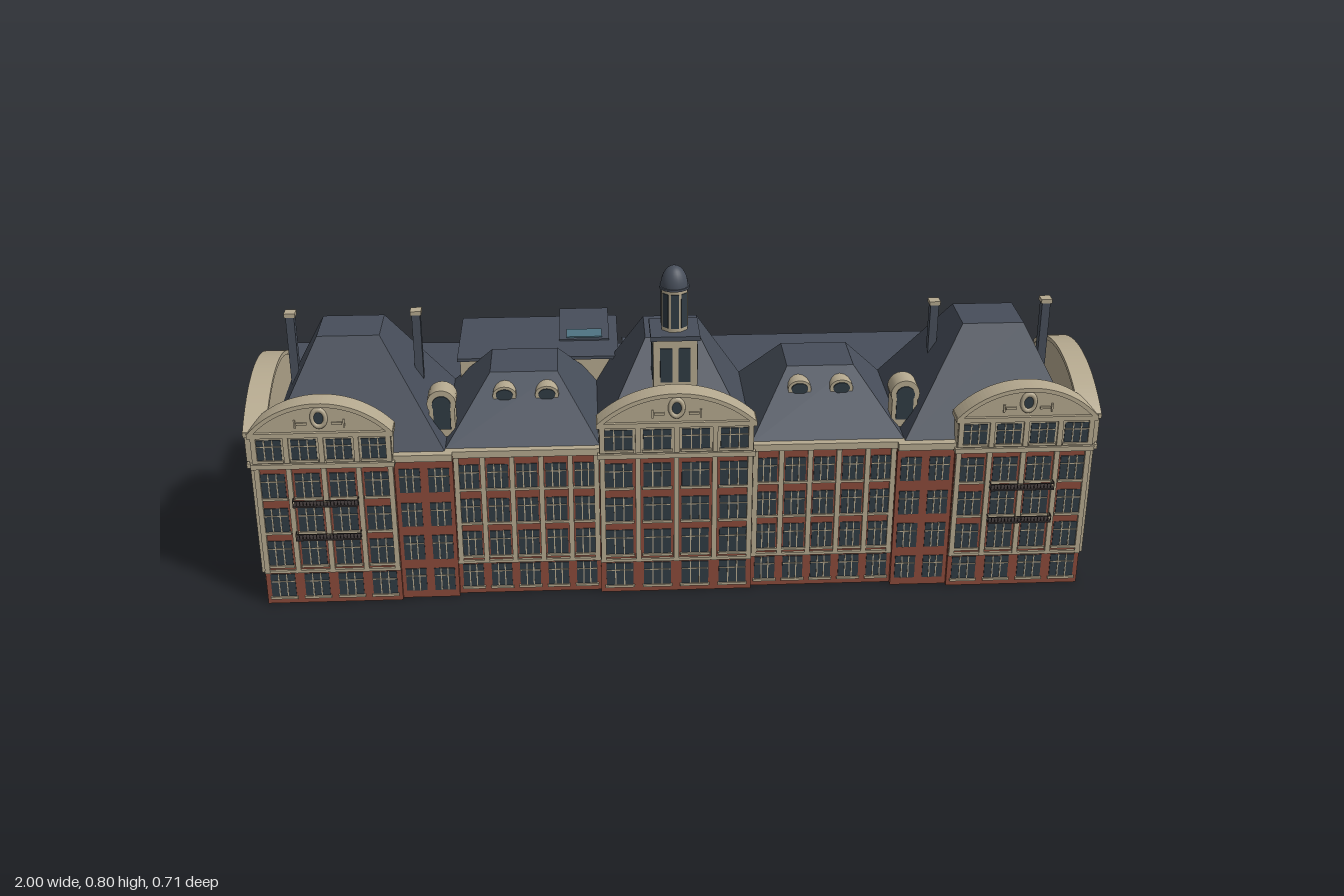
import * as THREE from 'three';
import { mergeGeometries } from 'three/addons/utils/BufferGeometryUtils.js';

const mat = (color) => new THREE.MeshStandardMaterial({ color });
const BRICK = mat(0x8a4a3a), CREAM = mat(0xb5a98f), SLATE = mat(0x474e5a), GLASS = mat(0x303b43),
  IRON = mat(0x3a3434), SKY = mat(0x4f7382);

// Box from its limits
function box(x0, x1, y0, y1, z0, z1) {
  return new THREE.BoxGeometry(x1 - x0, y1 - y0, z1 - z0)
    .translate((x0 + x1) / 2, (y0 + y1) / 2, (z0 + z1) / 2);
}

// One named mesh from a list of geometries
function part(parent, name, material, geos) {
  if (!geos.length) return;
  const flat = geos.map((g) => (g.index ? g.toNonIndexed() : g));
  const mesh = new THREE.Mesh(mergeGeometries(flat), material);
  mesh.name = name;
  parent.add(mesh);
}

// Hipped roof: box with its upper corners moved to the flat top
function hip(x0, x1, z0, z1, y0, tx0, tx1, tz0, tz1, y1) {
  const g = box(x0, x1, y0, y1, z0, z1).toNonIndexed(), p = g.attributes.position;
  for (let i = 0; i < p.count; i++) {
    if (p.getY(i) < (y0 + y1) / 2) continue;
    p.setX(i, p.getX(i) < (x0 + x1) / 2 ? tx0 : tx1);
    p.setZ(i, p.getZ(i) < (z0 + z1) / 2 ? tz0 : tz1);
  }
  g.computeVertexNormals();
  return g;
}

// Upright plate with a segmental arch on top
function archPlate(half, y0, spring, rise, z0, z1) {
  const r = (half * half + rise * rise) / (2 * rise), a = Math.asin(half / r);
  const s = new THREE.Shape();
  s.moveTo(-half, y0);
  s.lineTo(half, y0);
  s.absarc(0, spring + rise - r, r, Math.PI / 2 - a, Math.PI / 2 + a, false);
  s.closePath();
  return new THREE.ExtrudeGeometry(s, { depth: z1 - z0, bevelEnabled: false, curveSegments: 20 })
    .translate(0, 0, z0);
}

// Raised moulding that follows the arch
function archRim(half, spring, rise, t, z0, z1) {
  const r = (half * half + rise * rise) / (2 * rise), a = Math.asin(half / r), cy = spring + rise - r;
  const s = new THREE.Shape();
  s.absarc(0, cy, r, Math.PI / 2 - a, Math.PI / 2 + a, false);
  s.absarc(0, cy, r - t, Math.PI / 2 + a, Math.PI / 2 - a, true);
  s.closePath();
  return new THREE.ExtrudeGeometry(s, { depth: z1 - z0, bevelEnabled: false, curveSegments: 20 })
    .translate(0, 0, z0);
}

const ROWS = [[0.02, 0.08], [0.105, 0.17], [0.195, 0.257], [0.285, 0.347]];

// Window grid in local space: the wall plane is z = 0, facing +z
function facade(name, width, bays, { gable = false, pilasters = false, bands = true, hasGlass = () => true } = {}) {
  const g = new THREE.Group(), cream = [], glass = [], pitch = width / bays, h = width / 2;
  g.name = name;
  const rows = gable ? [...ROWS, [0.387, 0.438]] : ROWS;
  for (let b = 0; b < bays; b++) {
    const cx = -h + (b + 0.5) * pitch, w = pitch * 0.36;
    rows.forEach(([y0, y1], r) => {
      const z = r === 4 ? 0.008 : 0;
      if (r === 4 || hasGlass(b)) glass.push(box(cx - w, cx + w, y0, y1, z - 0.004, z + 0.002));
      for (const m of [-0.33, 0.33])
        cream.push(box(cx + m * w - 0.0013, cx + m * w + 0.0013, y0, y1, z - 0.004, z + 0.004));
      const ym = y0 + (y1 - y0) * 0.68;
      cream.push(box(cx - w, cx + w, ym - 0.001, ym + 0.001, z - 0.004, z + 0.004));
      if (bands) cream.push(box(cx - w - 0.003, cx + w + 0.003, y0 - 0.006, y0, z - 0.004, z + 0.006));
    });
  }
  if (pilasters) for (let b = 0; b <= bays; b++) {
    const cx = THREE.MathUtils.clamp(-h + b * pitch, -h + 0.007, h - 0.007);
    cream.push(box(cx - 0.006, cx + 0.006, 0.085, 0.367, -0.004, 0.007));
    if (gable) cream.push(box(cx - 0.006, cx + 0.006, 0.38, 0.445, 0, 0.014));
  }
  if (bands) cream.push(box(-h, h, 0.085, 0.092, -0.004, 0.006));
  if (gable) {
    // Arched gable with its mouldings and oculus
    cream.push(archPlate(h, 0.365, 0.455, 0.072, -0.035, 0.008), archRim(h + 0.006, 0.455, 0.076, 0.01, -0.037, 0.016));
    cream.push(box(-h - 0.004, h + 0.004, 0.365, 0.377, -0.03, 0.014), box(-h - 0.006, h + 0.006, 0.445, 0.457, -0.035, 0.016));
    cream.push(new THREE.TorusGeometry(0.018, 0.006, 8, 20).scale(0.85, 1.15, 1).translate(0, 0.492, 0.009));
    glass.push(new THREE.CylinderGeometry(0.016, 0.016, 0.01, 20).rotateX(Math.PI / 2).scale(0.85, 1.15, 1).translate(0, 0.492, 0.006));
    for (const s of [-1, 1]) {
      cream.push(box(s * 0.04 - 0.012, s * 0.04 + 0.012, 0.475, 0.481, 0, 0.012));
      cream.push(box(s * 0.056 - 0.002, s * 0.056 + 0.002, 0.468, 0.488, 0, 0.012));
    }
  } else cream.push(box(-h, h, 0.37, 0.387, -0.02, 0.012));
  part(g, name + 'Stone', CREAM, cream);
  part(g, name + 'Glass', GLASS, glass);
  return g;
}

// Iron balcony: slab, rail and bars
function balcony(width, y) {
  const geos = [box(-width / 2, width / 2, y, y + 0.004, 0, 0.024)], n = Math.round(width / 0.008);
  geos.push(box(-width / 2, width / 2, y + 0.016, y + 0.018, 0.022, 0.024));
  for (let i = 0; i <= n; i++) {
    const x = -width / 2 + (i * width) / n;
    geos.push(box(x - 0.0007, x + 0.0007, y, y + 0.017, 0.0225, 0.0238));
  }
  for (const s of [-1, 1]) geos.push(box(s * width / 2 - 0.001, s * width / 2 + 0.001, y + 0.016, y + 0.018, 0, 0.024));
  return geos;
}

export function createModel() {
  const model = new THREE.Group();
  model.name = 'building';

  // Brick walls of the front range
  const walls = [box(-0.97, 0.97, 0, 0.38, -0.1, 0.303), box(-0.18, 0.18, 0, 0.38, 0.2, 0.315)];
  for (const s of [-1, 1]) {
    const [a, b, c] = [0.52, 0.655, 0.975].map((v) => v * s);
    walls.push(box(Math.min(b, c), Math.max(b, c), 0, 0.38, -0.1, 0.327));
    walls.push(box(Math.min(a, b), Math.max(a, b), 0, 0.38, 0.1, 0.317));
  }
  part(model, 'brickWalls', BRICK, walls);

  // Street front, bay by bay
  const place = (f, x, z, ry = 0) => { f.position.set(x, 0, z); f.rotation.y = ry; model.add(f); return f; };
  place(facade('centralFront', 0.36, 4, { gable: true, pilasters: true }), 0, 0.315);
  for (const s of [-1, 1]) {
    const end = place(facade('endFront', 0.32, 4, { gable: true, pilasters: true }), s * 0.815, 0.327);
    part(end, 'frontBalcony', IRON, [...balcony(0.15, 0.181), ...balcony(0.15, 0.269)]);
    place(facade('linkFront', 0.135, 2, { bands: false }), s * 0.5875, 0.317);
    place(facade('wingFront', 0.34, 5, { pilasters: true }), s * 0.35, 0.303);
    // Side gables; the two rear bays are glazed
    const side = place(facade('sideFront', 0.435, 5,
      { gable: true, pilasters: true, bands: false, hasGlass: (b) => (s > 0 ? b > 2 : b < 2) }),
    s * 0.975, 0.11, s * Math.PI / 2);
    const rails = [...balcony(0.15, 0.181), ...balcony(0.15, 0.269)];
    rails.forEach((g) => g.translate(s * 0.005, 0, 0));
    part(side, 'sideBalcony', IRON, rails);
  }

  // Rear block with its flat roof
  const plan = new THREE.Shape([[-0.97, 0.09], [0.973, 0.09], [0.973, 0.14], [0.745, 0.14], [0.745, 0.355],
    [-0.11, 0.355], [-0.11, 0.315], [-0.97, 0.36]].map(([x, y]) => new THREE.Vector2(x, y)));
  const slab = (depth, y) => new THREE.ExtrudeGeometry(plan, { depth, bevelEnabled: false })
    .rotateX(-Math.PI / 2).translate(0, y, 0);
  part(model, 'rearBlock', CREAM, [slab(0.378, 0)]);
  part(model, 'rearRoof', SLATE, [slab(0.004, 0.378)]);

  // Rear windows
  const rear = [];
  const rearRow = (x0, x1, n, zAt, turn) => {
    for (let i = 0; i < n; i++) for (const y of [0.128, 0.218, 0.31]) {
      const x = x0 + ((i + 0.5) * (x1 - x0)) / n;
      rear.push(new THREE.BoxGeometry(0.042, 0.046, 0.006).rotateY(turn).translate(x, y, zAt(x)));
    }
  };
  rearRow(-0.11, 0.745, 10, () => -0.355, 0);
  rearRow(-0.97, -0.11, 9, (x) => -0.36 + (x + 0.97) * 0.0523, -0.0523);
  rearRow(0.76, 0.96, 2, () => -0.14, 0);
  part(model, 'rearWindows', GLASS, rear);

  // Raised rear storey and skylight housing
  part(model, 'rearAttic', CREAM, [box(-0.52, -0.13, 0.38, 0.462, -0.29, -0.06), box(-0.27, -0.15, 0.37, 0.468, -0.335, -0.13)]);
  part(model, 'rearAtticRoof', SLATE, [box(-0.525, -0.125, 0.462, 0.47, -0.295, -0.03), box(-0.273, -0.147, 0.468, 0.474, -0.338, -0.13)]);
  part(model, 'skylight', SKY, [box(-0.255, -0.165, 0.472, 0.477, -0.19, -0.14)]);

  // Hipped roofs, dormers and chimneys
  const roofs = [hip(-0.185, 0.185, -0.1, 0.3, 0.383, -0.065, 0.065, 0.005, 0.14, 0.59)];
  const dormers = [], dormerGlass = [], shafts = [], caps = [];
  for (const s of [-1, 1]) {
    const span = (a, b) => (s > 0 ? [a, b] : [-b, -a]);
    roofs.push(hip(...span(0.535, 0.955), -0.1, 0.312, 0.383, ...span(0.685, 0.83), 0.05, 0.175, 0.625));
    roofs.push(hip(...span(0.175, 0.54), -0.1, 0.302, 0.383, ...span(0.275, 0.435), 0, 0.138, 0.508));
    // Eyebrow dormers
    for (const x of [0.3, 0.4]) {
      dormers.push(new THREE.CylinderGeometry(0.028, 0.028, 0.07, 16).rotateX(Math.PI / 2).scale(1, 0.8, 1).translate(s * x, 0.472, 0.16));
      dormerGlass.push(new THREE.CylinderGeometry(0.02, 0.02, 0.004, 16).rotateX(Math.PI / 2).scale(1, 0.7, 1).translate(s * x, 0.474, 0.196));
    }
    // Round-headed dormers over the links
    const dx = s * 0.545;
    dormers.push(box(dx - 0.03, dx + 0.03, 0.39, 0.475, 0.19, 0.24));
    dormers.push(new THREE.CylinderGeometry(0.034, 0.034, 0.055, 20).rotateX(Math.PI / 2).translate(dx, 0.476, 0.215));
    dormerGlass.push(new THREE.CylinderGeometry(0.022, 0.022, 0.004, 20).rotateX(Math.PI / 2).translate(dx, 0.474, 0.243));
    dormerGlass.push(box(dx - 0.02, dx + 0.02, 0.41, 0.465, 0.238, 0.243));
    for (const x of [s > 0 ? 0.63 : 0.605, 0.9]) {
      shafts.push(box(s * x - 0.01, s * x + 0.01, 0.4, 0.648, 0.084, 0.106));
      caps.push(box(s * x - 0.013, s * x + 0.013, 0.645, 0.655, 0.081, 0.109));
    }
  }
  part(model, 'hippedRoofs', SLATE, roofs);
  part(model, 'dormers', CREAM, dormers);
  part(model, 'dormerGlass', GLASS, dormerGlass);
  part(model, 'chimneys', SLATE, shafts);
  part(model, 'chimneyCaps', CREAM, caps);

  // Clock-style tower: square base, octagonal lantern and dome
  const tower = new THREE.Group();
  tower.name = 'tower';
  tower.position.set(0, 0, 0.213);
  const stone = [box(-0.051, 0.051, 0.4, 0.636, -0.051, 0.051)], panes = [];
  stone.push(new THREE.CylinderGeometry(0.032, 0.032, 0.105, 8).rotateY(Math.PI / 8).translate(0, 0.697, 0));
  for (let i = 0; i < 8; i++) {
    const a = (i * Math.PI) / 4;
    panes.push(box(-0.009, 0.009, 0.655, 0.738, 0.028, 0.031).rotateY(a));
    if (i % 2 === 0) for (const x of [-0.021, 0.021]) panes.push(box(x - 0.014, x + 0.014, 0.53, 0.615, 0.049, 0.053).rotateY(a));
  }
  part(tower, 'towerStone', CREAM, stone);
  part(tower, 'towerWindows', GLASS, panes);
  part(tower, 'towerCornice', SLATE, [box(-0.057, 0.057, 0.635, 0.646, -0.057, 0.057),
    new THREE.CylinderGeometry(0.035, 0.035, 0.005, 16).translate(0, 0.749, 0)]);
  part(tower, 'dome', SLATE, [new THREE.SphereGeometry(0.032, 24, 10, 0, Math.PI * 2, 0, Math.PI / 2).scale(1, 1.55, 1).translate(0, 0.75, 0)]);
  model.add(tower);
  return model;
}
